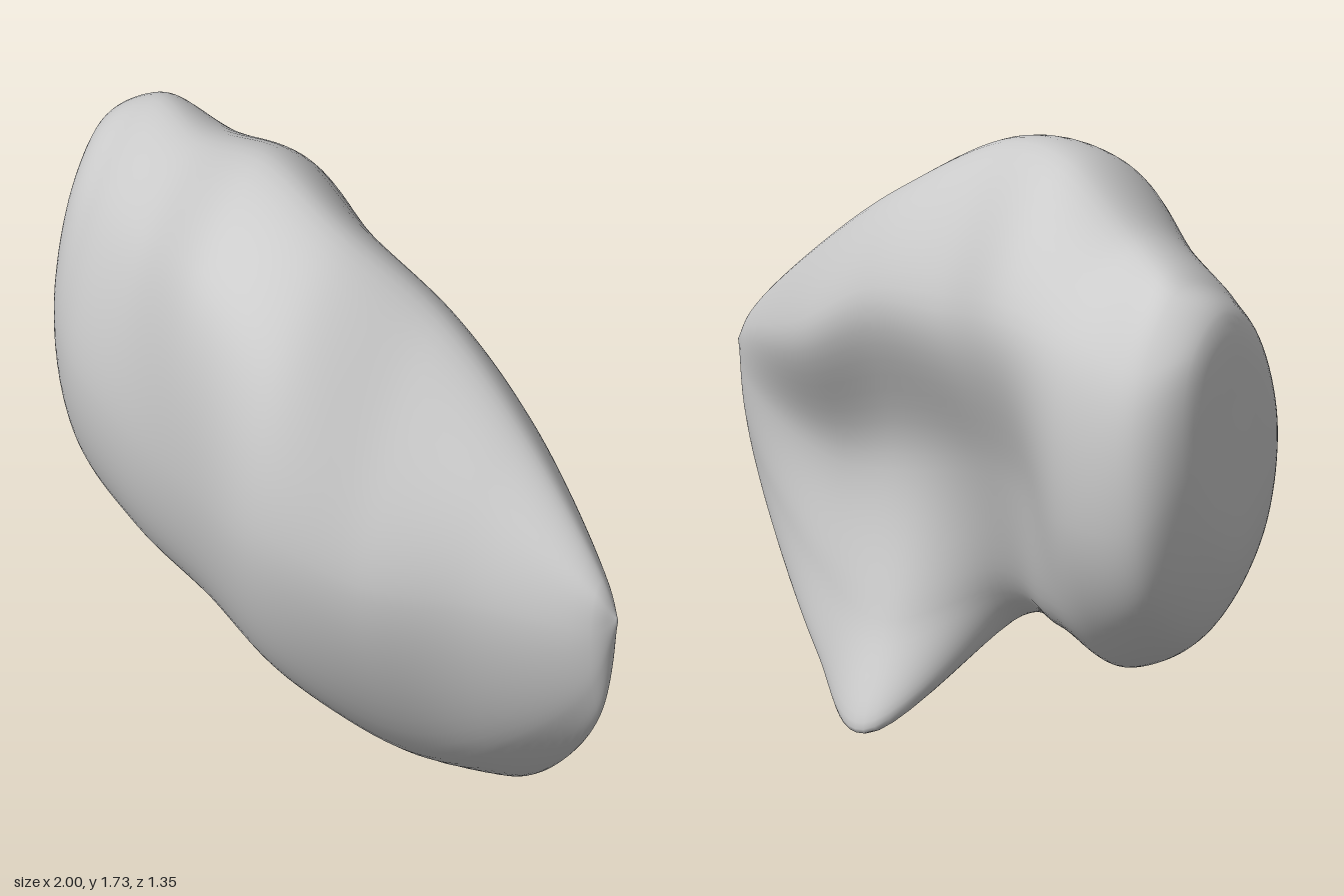
import * as THREE from 'three';
import { mergeVertices } from 'three/addons/utils/BufferGeometryUtils.js';

// Cross-sections along x: x, then eight (z, y) pairs running
// top, upper front, front, lower front, bottom, lower back, back, upper back
const SECTIONS = [
  [-0.97, -0.37, 1.48, -0.18, 1.36, -0.08, 1.10, -0.13, 0.88, -0.29, 0.75, -0.45, 0.83, -0.56, 1.08, -0.53, 1.38],
  [-0.85, -0.43, 1.56, -0.09, 1.43, 0.10, 1.05, 0.02, 0.70, -0.28, 0.52, -0.54, 0.66, -0.66, 0.92, -0.64, 1.34],
  [-0.60, -0.23, 1.61, 0.13, 1.46, 0.29, 1.00, 0.18, 0.60, -0.20, 0.38, -0.45, 0.55, -0.60, 0.90, -0.56, 1.37],
  [-0.30, -0.05, 1.73, 0.38, 1.55, 0.49, 1.00, 0.34, 0.55, 0.05, 0.38, -0.14, 0.46, -0.29, 0.88, -0.43, 1.38],
  [0.00, 0.12, 1.69, 0.51, 1.48, 0.66, 0.98, 0.50, 0.48, 0.24, 0.31, 0.12, 0.42, -0.03, 0.83, -0.21, 1.30],
  [0.32, 0.15, 1.51, 0.49, 1.28, 0.65, 0.88, 0.39, 0.26, -0.07, 0.01, 0.05, 0.30, 0.13, 0.75, -0.06, 1.24],
  [0.60, 0.24, 1.30, 0.45, 1.17, 0.57, 0.87, 0.44, 0.37, 0.17, 0.13, 0.20, 0.36, 0.24, 0.70, 0.07, 1.08],
  [0.94, 0.41, 0.99, 0.46, 0.97, 0.49, 0.86, 0.48, 0.69, 0.43, 0.56, 0.40, 0.64, 0.38, 0.80, 0.37, 0.94],
];
const LEFT_TIP = new THREE.Vector3(1, 0.89, 0.44);
const RIGHT_TIP = new THREE.Vector3(-1, 1.14, -0.32);

// Smooth skin through the cross-sections, closed by a point at each end
function skin(rings, around) {
  const rails = [];
  for (let k = 0; k < 8; k++) {
    const points = SECTIONS.map((s) => new THREE.Vector3(s[0], s[2 + 2 * k], s[1 + 2 * k]));
    rails.push(new THREE.CatmullRomCurve3([RIGHT_TIP, ...points, LEFT_TIP]));
  }
  const positions = [];
  const index = [];
  for (let i = 0; i <= rings; i++) {
    const loop = new THREE.CatmullRomCurve3(rails.map((r) => r.getPoint(i / rings)), true);
    for (let j = 0; j < around; j++) {
      const end = i === 0 ? RIGHT_TIP : i === rings ? LEFT_TIP : null;
      positions.push(...(end || loop.getPoint(j / around)).toArray());
      if (i === rings) continue;
      const a = i * around + j;
      const b = i * around + ((j + 1) % around);
      if (i > 0) index.push(a, b, a + around);
      if (i < rings - 1) index.push(b, b + around, a + around);
    }
  }
  let geometry = new THREE.BufferGeometry();
  geometry.setAttribute('position', new THREE.Float32BufferAttribute(positions, 3));
  geometry.setIndex(index);
  geometry = mergeVertices(geometry);
  // Rest the lowest point on the ground
  geometry.computeBoundingBox();
  geometry.translate(0, -geometry.boundingBox.min.y, 0);
  geometry.computeVertexNormals();
  return geometry;
}

export function createModel() {
  const model = new THREE.Group();
  const body = new THREE.Mesh(skin(90, 80), new THREE.MeshStandardMaterial({ color: 0xcccccc }));
  body.name = 'curvedBody';
  model.add(body);
  return model;
}
